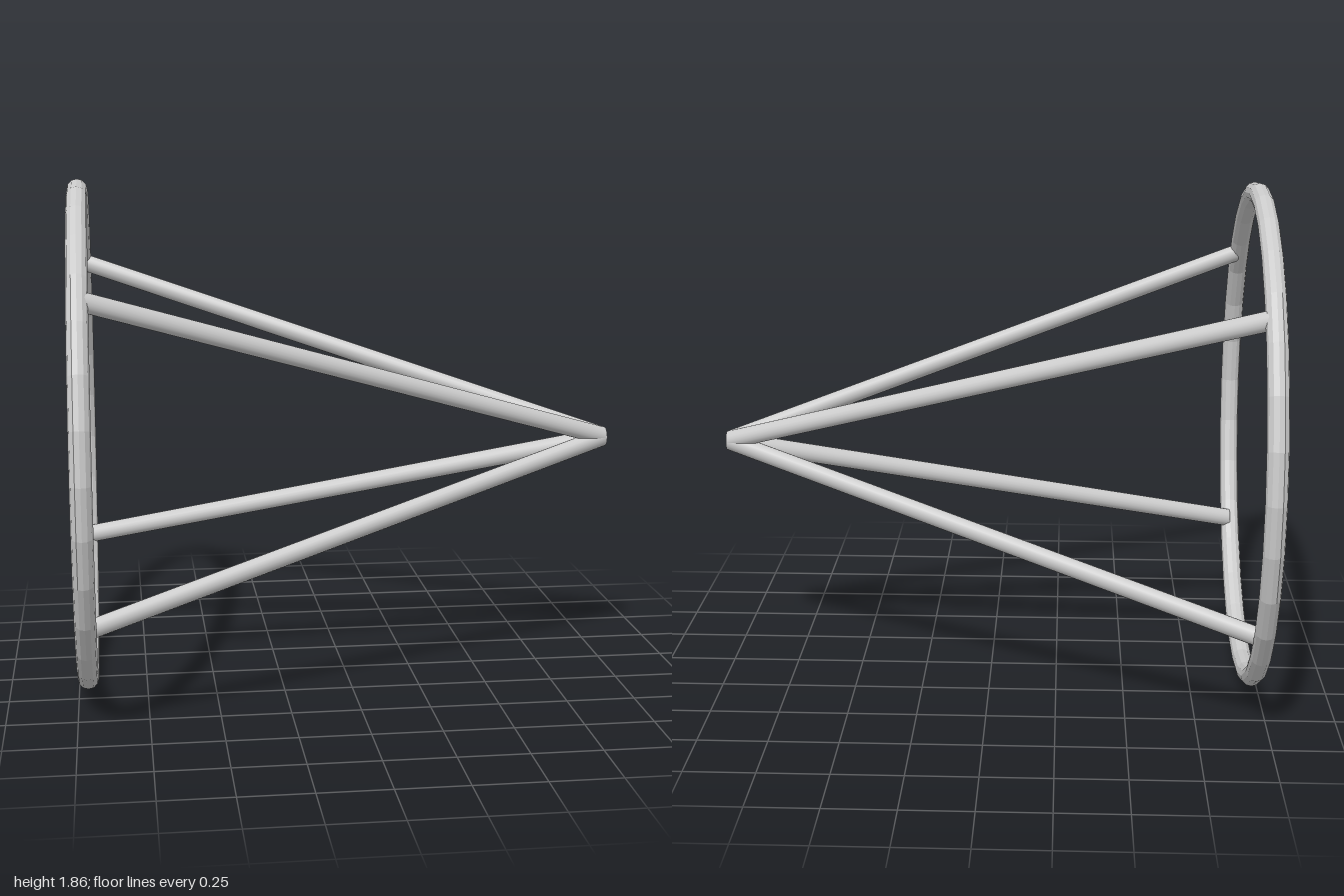
import * as THREE from 'three';

const material = new THREE.MeshStandardMaterial({ color: 0xcccccc });

// Round bar whose two ends are cut square to the x axis
function makeStrut(from, to, radius) {
  const length = to.x - from.x;
  const geometry = new THREE.CylinderGeometry(radius, radius, length, 20);
  geometry.rotateZ(-Math.PI / 2);
  const shear = new THREE.Matrix4().set(
    1, 0, 0, 0,
    (to.y - from.y) / length, 1, 0, 0,
    (to.z - from.z) / length, 0, 1, 0,
    0, 0, 0, 1
  );
  geometry.applyMatrix4(shear);
  const mesh = new THREE.Mesh(geometry, material);
  mesh.position.addVectors(from, to).multiplyScalar(0.5);
  return mesh;
}

export function createModel() {
  const model = new THREE.Group();
  model.name = 'conicalFrame';

  // Upright hoop facing along x
  const tube = 0.037;
  const ringGeometry = new THREE.TorusGeometry(0.893, tube, 12, 32);
  ringGeometry.rotateY(Math.PI / 2);
  const ring = new THREE.Mesh(ringGeometry, material.clone());
  ring.material.flatShading = true;
  ring.name = 'ring';
  ring.position.set(-1 + tube, 0.93, 0);
  model.add(ring);

  // Four struts from the hoop to a shared tip
  const tip = new THREE.Vector3(1, 0.877, 0.018);
  for (const [level, y] of [['upper', 1.5], ['lower', 0.385]]) {
    for (const [end, z] of [['Front', 0.682], ['Back', -0.682]]) {
      const strut = makeStrut(new THREE.Vector3(-0.96, y, z), tip, 0.035);
      strut.name = `${level}${end}Strut`;
      model.add(strut);
    }
  }
  return model;
}
